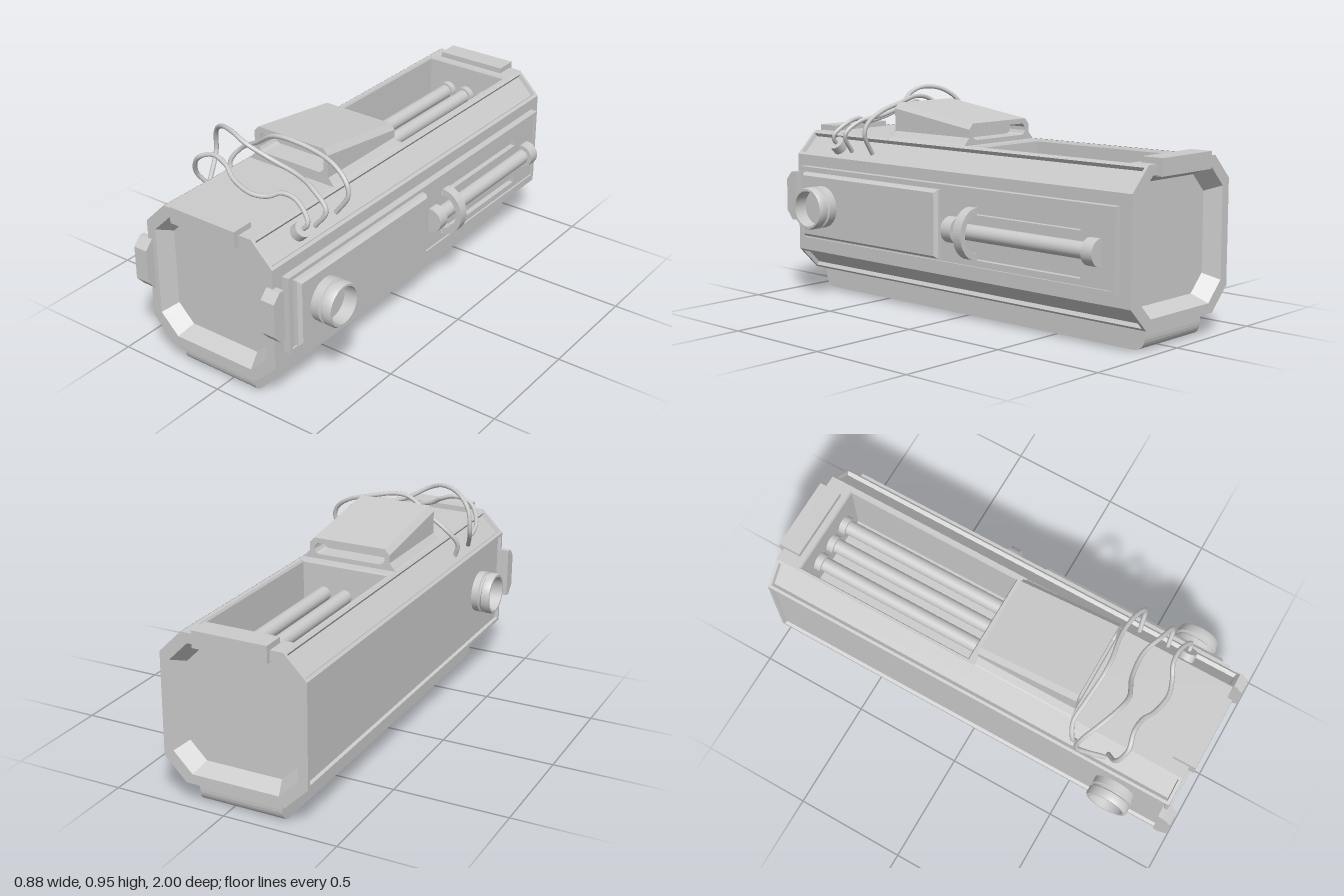
import * as THREE from 'three';
import { toCreasedNormals } from 'three/addons/utils/BufferGeometryUtils.js';

const CX = -0.045, CY = 0.4175, FRONT = 0.96, BACK = -0.98;
const flat = new THREE.MeshStandardMaterial({ color: 0xcccccc, flatShading: true, side: THREE.DoubleSide });
const smooth = new THREE.MeshStandardMaterial({ color: 0xcccccc, side: THREE.DoubleSide });

function add(parent, name, geo, mat = flat) {
  const m = new THREE.Mesh(geo, mat);
  m.name = name;
  parent.add(m);
  return m;
}

// Skin a list of equal-length point loops; optionally close the first and last loop
function loft(loops, capStart = false, capEnd = true) {
  const pos = [];
  const tri = (...p) => p.forEach(q => pos.push(...q));
  const n = loops[0].length;
  for (let k = 0; k + 1 < loops.length; k++) {
    for (let i = 0; i < n; i++) {
      const j = (i + 1) % n, a = loops[k], b = loops[k + 1];
      tri(a[i], a[j], b[j]);
      tri(a[i], b[j], b[i]);
    }
  }
  const last = loops[loops.length - 1];
  for (let i = 1; i + 1 < n; i++) {
    if (capStart) tri(loops[0][0], loops[0][i + 1], loops[0][i]);
    if (capEnd) tri(last[0], last[i], last[i + 1]);
  }
  const g = new THREE.BufferGeometry();
  g.setAttribute('position', new THREE.Float32BufferAttribute(pos, 3));
  g.computeVertexNormals();
  return g;
}

// Chamfered square section of half size h, corner cut c
const oct = (h, c, z) => [[-h + c, -h], [h - c, -h], [h, -h + c], [h, h - c], [h - c, h], [-h + c, h], [-h, h - c], [-h, -h + c]]
  .map(([x, y]) => [CX + x, CY + y, z]);
const rectY = (x0, x1, z0, z1, y) => [[x0, y, z0], [x0, y, z1], [x1, y, z1], [x1, y, z0]];
const rectX = (y0, y1, z0, z1, x) => [[x, y0, z1], [x, y0, z0], [x, y1, z0], [x, y1, z1]];

// Extrude a profile given as (z, y) points along x from x0 to x1
function extrudeX(shape, x0, x1) {
  const g = new THREE.ExtrudeGeometry(shape, { depth: x1 - x0, bevelEnabled: false, curveSegments: 8 });
  return g.rotateY(Math.PI / 2).translate(x0, 0, 0);
}
const shapeZY = pts => new THREE.Shape(pts.map(([z, y]) => new THREE.Vector2(-z, y)));
const rectZY = (z0, z1, y0, y1) => shapeZY([[z0, y0], [z1, y0], [z1, y1], [z0, y1]]);

function cylinderZ(r, z0, z1, x, y) {
  return new THREE.CylinderGeometry(r, r, z1 - z0, 24).rotateX(Math.PI / 2).translate(x, y, (z0 + z1) / 2);
}

function buildBody(g) {
  // Recessed ends
  for (const [name, z, s] of [['frontEnd', FRONT, 1], ['backEnd', BACK, -1]]) {
    add(g, name, loft([oct(0.323, 0.1, z), oct(0.28, 0.085, z), oct(0.245, 0.075, z - s * 0.07)]));
  }
  // Long faces, some with a sunken panel
  const ring = oct(0.323, 0.1, 0);
  const sunken = { 1: 0.018, 3: 0.018, 5: 0.018, 6: 0.014, 7: 0.018 };
  for (let i = 0; i < 8; i++) {
    if (i === 4) continue;
    const a = ring[i], b = ring[(i + 1) % 8];
    const len = Math.hypot(b[0] - a[0], b[1] - a[1]);
    const u = [(b[0] - a[0]) / len, (b[1] - a[1]) / len];
    const loop = (inset, depth) => {
      const p = (t, z) => [a[0] + u[0] * t - u[1] * depth, a[1] + u[1] * t + u[0] * depth, z];
      return [p(inset, FRONT - inset), p(inset, BACK + inset), p(len - inset, BACK + inset), p(len - inset, FRONT - inset)];
    };
    const d = sunken[i];
    add(g, 'bodySide', loft(d ? [loop(0, 0), loop(0.014, 0), loop(0.018, d)] : [loop(0, 0), loop(0.01, 0)]));
  }
  // Top deck with the open bay
  const top = CY + 0.322, x0 = CX - 0.223, x1 = CX + 0.223;
  add(g, 'frontDeck', loft([rectY(x0, x1, -0.03, FRONT, top)]));
  add(g, 'openBay', loft([rectY(x0, x1, BACK, -0.03, top), rectY(-0.255, 0.16, -0.875, -0.045, top),
    rectY(-0.25, 0.155, -0.87, -0.05, top - 0.01), rectY(-0.25, 0.155, -0.87, -0.05, 0.44)]));
  for (const x of [-0.145, CX, 0.055]) {
    add(g, 'bayRod', cylinderZ(0.032, -0.87, -0.05, x, 0.6), smooth);
    add(g, 'bayRodCollar', cylinderZ(0.042, -0.865, -0.835, x, 0.6), smooth);
  }
  // Skid with rounded lower corners
  const s = new THREE.Shape();
  s.moveTo(-0.93, 0.1);
  s.lineTo(-0.93, 0.06);
  s.quadraticCurveTo(-0.93, 0, -0.87, 0);
  s.lineTo(0.885, 0);
  s.quadraticCurveTo(0.945, 0, 0.945, 0.06);
  s.lineTo(0.945, 0.1);
  add(g, 'baseSkid', extrudeX(s, -0.235, 0.14));
}

function buildHood(g) {
  const mirror = half => [...half, ...half.slice().reverse().map(([x, y]) => [-x, y])];
  const section = (top, z) => mirror([[-0.228, 0.735], [-0.215, 0.745], [-0.19, 0.772], [-0.19, top - 0.025], [-0.168, top]])
    .map(([x, y]) => [CX + x, y, z]);
  const slot = (y0, y1, z) => mirror([[-0.145, y0], [-0.16, y0 + 0.006], [-0.167, y0 + 0.02], [-0.167, y1 - 0.015], [-0.15, y1]])
    .map(([x, y]) => [CX + x, y, z]);
  add(g, 'ventHood', loft([slot(0.785, 0.87, 0.34), slot(0.785, 0.87, 0.445), section(0.897, 0.445),
    section(0.832, -0.01), slot(0.76, 0.81, -0.01), slot(0.76, 0.81, 0.08)], true, true));
}

function buildSidePlate(g) {
  // Plate with two guide slots and a raised rim
  const plate = rectZY(-0.925, 0.905, 0.248, 0.59);
  for (const y of [0.305, 0.495]) plate.holes.push(rectZY(-0.75, -0.15, y - 0.016, y + 0.016));
  add(g, 'sidePlate', extrudeX(plate, 0.275, 0.302));
  const rim = rectZY(-0.925, 0.905, 0.248, 0.59);
  rim.holes.push(rectZY(-0.91, 0.89, 0.262, 0.576));
  add(g, 'sidePlateRim', extrudeX(rim, 0.3, 0.31));
  add(g, 'coverPanel', loft([rectX(0.272, 0.566, 0.005, 0.87, 0.3), rectX(0.272, 0.566, 0.005, 0.87, 0.322),
    rectX(0.284, 0.554, 0.017, 0.858, 0.337)]));
  // Slide rod with end caps and a half-ring handle
  add(g, 'slideRod', cylinderZ(0.034, -0.855, -0.05, 0.312, 0.405), smooth);
  for (const z of [-0.855, -0.105]) add(g, 'slideRodCap', cylinderZ(0.056, z, z + 0.055, 0.308, 0.405), smooth);
  const arc = new THREE.Shape();
  arc.absarc(0, 0, 0.11, -Math.PI / 2, Math.PI / 2, false);
  arc.absarc(0, 0, 0.08, Math.PI / 2, -Math.PI / 2, true);
  const handle = add(g, 'slideHandle', new THREE.ExtrudeGeometry(arc, { depth: 0.045, bevelEnabled: false, curveSegments: 14 }));
  handle.scale.x = 0.9;
  handle.position.set(0.3, 0.4, -0.2);
}

function buildPorts(g) {
  // Hollow ports with a groove, one on each side
  const profile = [[0.085, 0], [0.094, 0.006], [0.095, 0.045], [0.086, 0.05], [0.086, 0.058], [0.095, 0.063],
    [0.095, 0.09], [0.09, 0.1], [0.08, 0.1], [0.078, 0.04], [0, 0.04]].map(p => new THREE.Vector2(...p));
  for (const [s, x, name] of [[1, 0.335, 'leftPort'], [-1, -0.34, 'rightPort']]) {
    const geo = toCreasedNormals(new THREE.LatheGeometry(profile, 32).rotateZ(-s * Math.PI / 2), 0.5);
    add(g, name, geo, smooth).position.set(x, 0.423, 0.72);
  }
}

function buildClips(g) {
  const side = shapeZY([[0.94, 0.335], [0.965, 0.335], [1, 0.375], [1, 0.523], [0.965, 0.56], [0.94, 0.56]]);
  add(g, 'rightClip', extrudeX(side, -0.41, -0.345));
  add(g, 'leftClip', extrudeX(side, 0.25, 0.315));
  const lip = [[0.885, 0.735], [0.885, 0.764], [0.985, 0.764], [0.985, 0.692], [0.95, 0.692], [0.95, 0.735]];
  add(g, 'frontTopClip', extrudeX(shapeZY(lip), -0.212, 0.117));
  add(g, 'backTopClip', extrudeX(shapeZY(lip.map(([z, y]) => [-z - 0.015, y])), -0.212, 0.117));
}

function buildCables(g) {
  const paths = [
    [[-0.32, 0.66, 0.5], [-0.335, 0.72, 0.49], [-0.29, 0.785, 0.465], [-0.2, 0.84, 0.475], [-0.1, 0.905, 0.49],
      [-0.03, 0.915, 0.49], [0.1, 0.89, 0.47], [0.2, 0.86, 0.475], [0.27, 0.81, 0.49], [0.285, 0.76, 0.495], [0.23, 0.67, 0.505]],
    [[-0.325, 0.67, 0.64], [-0.375, 0.77, 0.53], [-0.36, 0.87, 0.54], [-0.29, 0.93, 0.58], [-0.2, 0.943, 0.615],
      [-0.13, 0.92, 0.625], [-0.03, 0.865, 0.59], [0.1, 0.83, 0.58], [0.2, 0.81, 0.61], [0.28, 0.75, 0.63], [0.23, 0.67, 0.64]],
    [[-0.31, 0.68, 0.645], [-0.34, 0.75, 0.69], [-0.3, 0.84, 0.72], [-0.23, 0.87, 0.705], [-0.16, 0.85, 0.71],
      [-0.1, 0.815, 0.735], [0, 0.79, 0.75], [0.07, 0.79, 0.73], [0.12, 0.81, 0.705], [0.19, 0.8, 0.7], [0.265, 0.735, 0.725], [0.225, 0.685, 0.73]],
  ];
  for (const p of paths) {
    const curve = new THREE.CatmullRomCurve3(p.map(q => new THREE.Vector3(...q)));
    add(g, 'cable', new THREE.TubeGeometry(curve, 60, 0.01, 8), smooth);
  }
  // Socket standing on the bevelled edge
  const socket = add(g, 'cableSocket', new THREE.CylinderGeometry(0.036, 0.036, 0.05, 20), smooth);
  socket.rotation.z = -Math.PI / 4;
  socket.position.set(0.227, 0.688, 0.73);
}

export function createModel() {
  const g = new THREE.Group();
  g.name = 'equipmentCanister';
  [buildBody, buildHood, buildSidePlate, buildPorts, buildClips, buildCables].forEach(build => build(g));
  return g;
}
